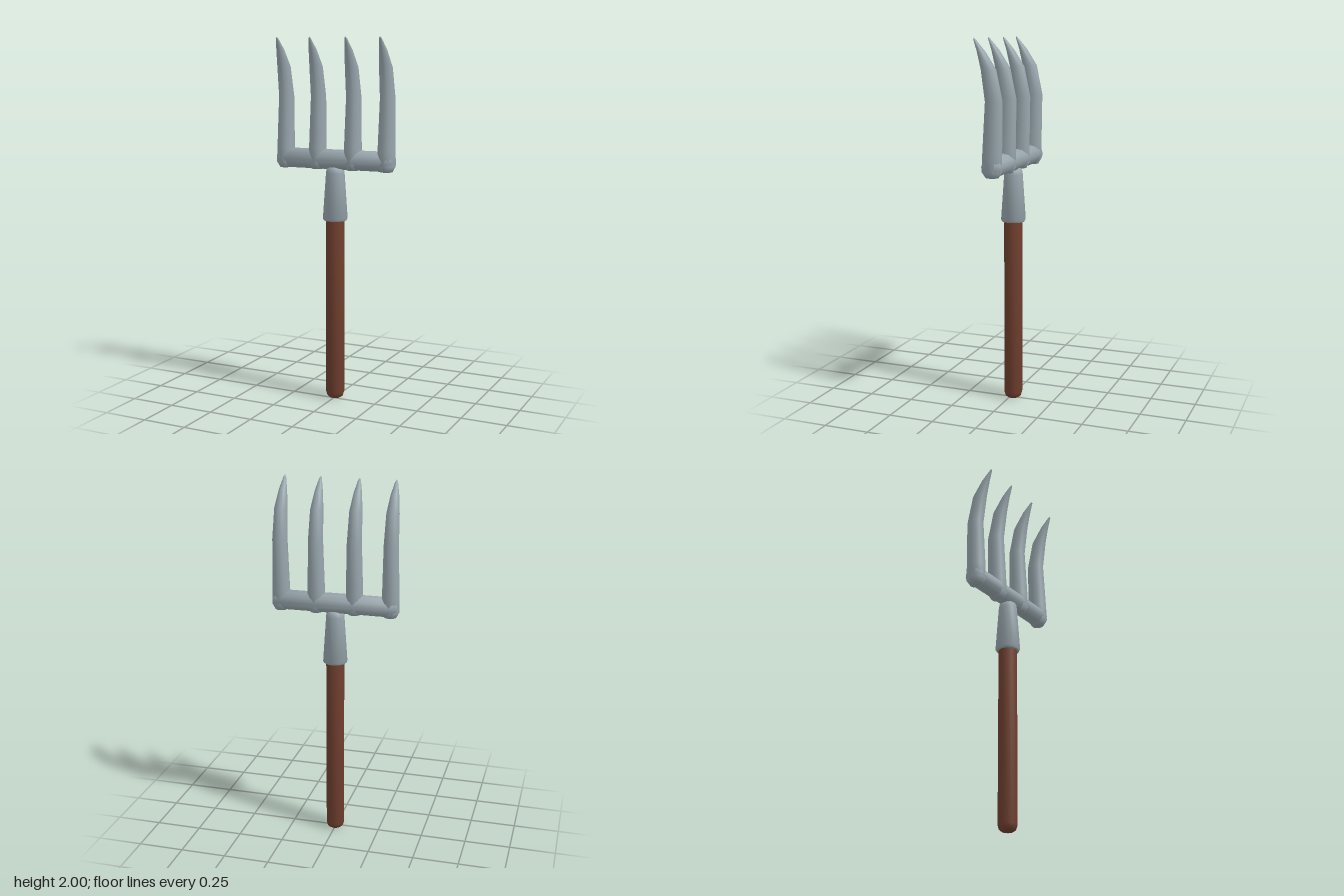
import * as THREE from 'three';
import { mergeVertices, toCreasedNormals } from 'three/addons/utils/BufferGeometryUtils.js';

const AXIS_Z = -0.018;
const SIDES = 12;

const steel = new THREE.MeshStandardMaterial({ color: 0x97a5ac });
const wood = new THREE.MeshStandardMaterial({ color: 0x71402f });

// Round part from [radius, height] pairs, listed bottom to top
function turned(name, profile, material) {
  const points = profile.map(([r, y]) => new THREE.Vector2(r, y));
  const geometry = new THREE.LatheGeometry(points, SIDES);
  const mesh = new THREE.Mesh(toCreasedNormals(geometry, 0.9), material);
  mesh.name = name;
  mesh.position.z = AXIS_Z;
  return mesh;
}

// Tine: stations of [height, centre z, half width, half depth], bent towards the front
const TINE = [
  [1.288, -0.017, 0, 0],
  [1.29, -0.017, 0.033, 0.035],
  [1.32, -0.016, 0.049, 0.055],
  [1.40, -0.017, 0.047, 0.053],
  [1.68, -0.027, 0.04, 0.047],
  [1.84, 0.001, 0.035, 0.041],
  [1.93, 0.041, 0.022, 0.022],
  [1.99, 0.077, 0.007, 0.006],
  [2.0, 0.083, 0, 0],
];

function tineGeometry() {
  const unit = TINE.map(([y]) => new THREE.Vector2(1, y));
  let geometry = new THREE.LatheGeometry(unit, SIDES);
  const pos = geometry.attributes.position;
  for (let i = 0; i < pos.count; i++) {
    const [y, z, w, d] = TINE[i % TINE.length];
    pos.setXYZ(i, pos.getX(i) * w, y, z + pos.getZ(i) * d);
  }
  // Weld the seam so the shading is continuous
  geometry.deleteAttribute('uv');
  geometry.deleteAttribute('normal');
  geometry = mergeVertices(geometry, 1e-5);
  geometry.computeVertexNormals();
  return geometry;
}

export function createModel() {
  const fork = new THREE.Group();
  fork.name = 'handFork';

  // Wooden handle with a rounded butt
  fork.add(turned('handle', [
    [0, 0], [0.03, 0.002], [0.044, 0.012], [0.051, 0.035], [0.051, 1.03], [0, 1.03],
  ], wood));

  // Tapered steel socket
  fork.add(turned('socket', [
    [0, 1.01], [0.062, 1.01], [0.068, 1.022], [0.051, 1.27], [0.047, 1.295], [0.035, 1.305], [0, 1.305],
  ], steel));

  // Crossbar
  const bar = turned('crossbar', [
    [0, -0.345], [0.035, -0.342], [0.0545, -0.32], [0.0545, 0.32], [0.035, 0.342], [0, 0.345],
  ], steel);
  bar.rotation.z = Math.PI / 2;
  bar.position.y = 1.344;
  fork.add(bar);

  // Four curved tines
  const geometry = tineGeometry();
  for (const x of [-0.301, -0.105, 0.105, 0.301]) {
    const tine = new THREE.Mesh(geometry, steel);
    tine.name = 'tine';
    tine.position.x = x;
    fork.add(tine);
  }
  return fork;
}
